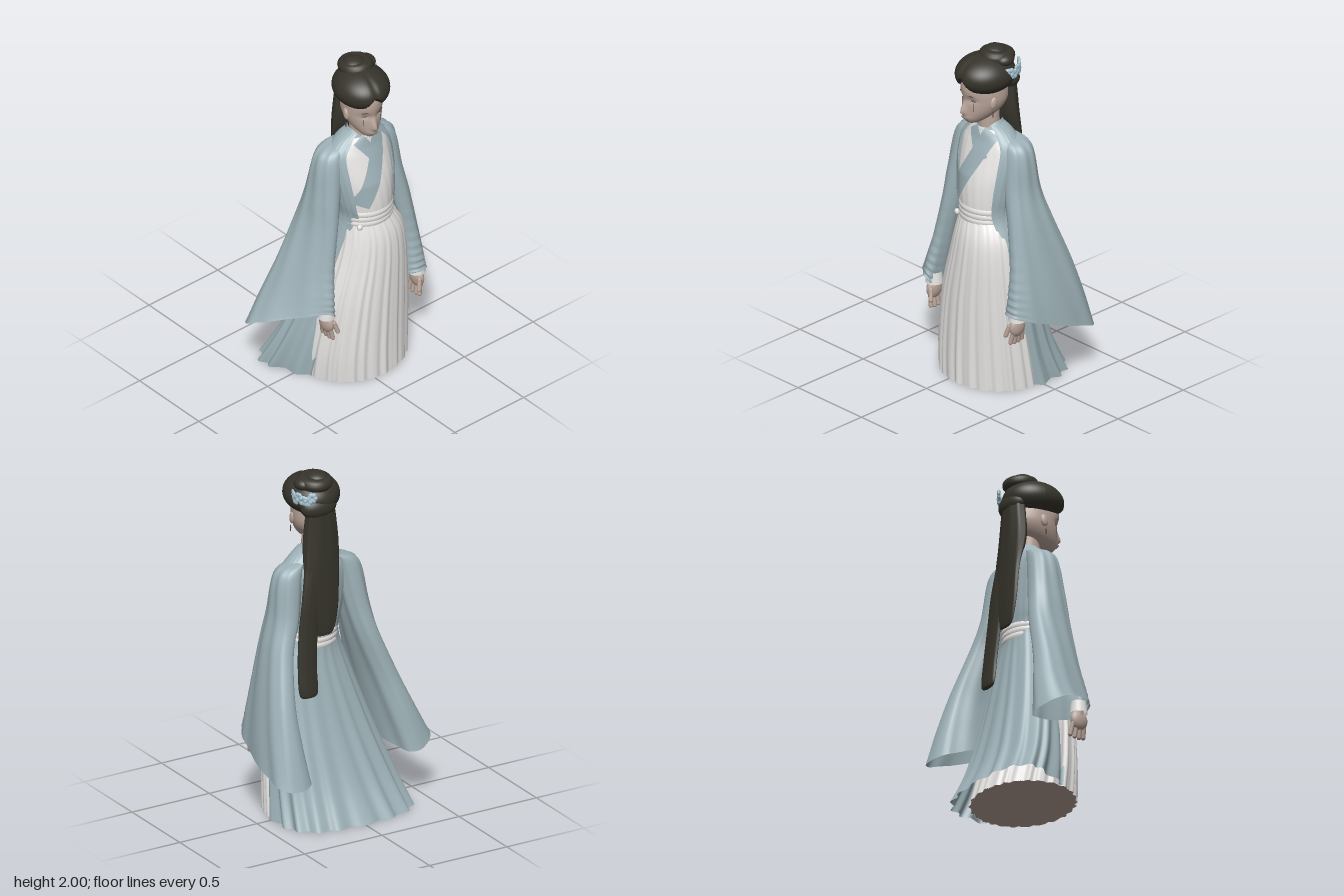
import * as THREE from 'three';

const mat = (name, color, double = false) => {
  const m = new THREE.MeshStandardMaterial({ color });
  m.name = name;
  if (double) m.side = THREE.DoubleSide;
  return m;
};
const { cos, sin, abs, sign, max, exp, sqrt, PI } = Math;
const bell = (d, w) => exp(-((d / w) ** 2));

// Smooth interpolation down a list of rows, t from 0 to 1
function rowAt(rows, t) {
  const f = t * (rows.length - 1), i = Math.min(Math.floor(f), rows.length - 2), s = f - i;
  const r = k => rows[THREE.MathUtils.clamp(k, 0, rows.length - 1)];
  return rows[i].map((_, c) => {
    const a = r(i - 1)[c], b = r(i)[c], d = r(i + 1)[c], e = r(i + 2)[c];
    return b + 0.5 * s * (d - a + s * (2 * a - 5 * b + 4 * d - e + s * (3 * (b - d) + e - a)));
  });
}

// Surface through point(u, v): u runs round, v runs down
function loft(nu, nv, point, closed = true) {
  const pos = [], idx = [], cols = closed ? nu : nu + 1;
  for (let j = 0; j <= nv; j++)
    for (let i = 0; i < cols; i++) pos.push(...point(i / nu, j / nv));
  for (let j = 0; j < nv; j++)
    for (let i = 0; i < nu; i++) {
      const a = j * cols + i, b = j * cols + ((i + 1) % cols), c = a + cols, d = b + cols;
      idx.push(a, b, c, b, d, c);
    }
  const g = new THREE.BufferGeometry();
  g.setAttribute('position', new THREE.Float32BufferAttribute(pos, 3));
  g.setIndex(idx);
  g.computeVertexNormals();
  return g;
}

// Point on an oval with different front and back: row = [y, cx, rx, zFront, zBack]
function oval([y, cx, rx, zf, zb], a, k = 1, p = 1) {
  const q = n => sign(n) * abs(n) ** p, cz = (zf + zb) / 2;
  return [cx + rx * k * q(cos(a)), y, cz + ((zf - zb) / 2) * k * q(sin(a))];
}

const torsoRows = [
  [1.53, 0.085, 0.07, 0.16, 0.02], [1.51, 0.085, 0.11, 0.166, 0.005], [1.46, 0.085, 0.165, 0.178, -0.015],
  [1.4, 0.085, 0.19, 0.2, -0.025], [1.25, 0.09, 0.185, 0.25, -0.028], [1.12, 0.095, 0.168, 0.268, -0.025],
  [0.99, 0.097, 0.155, 0.268, -0.015]];
const skirtRows = [
  [1.01, 0.097, 0.155, 0.268, -0.015], [0.9, 0.115, 0.195, 0.305, -0.02], [0.75, 0.11, 0.228, 0.322, -0.04],
  [0.5, 0.085, 0.275, 0.33, -0.09], [0.2, 0.07, 0.31, 0.33, -0.17], [0, 0.07, 0.318, 0.33, -0.23]];
// Last value: how far the open front reaches round from the side
const robeRows = [
  [1.55, 0.085, 0.075, 0.165, 0.015, 0.75], [1.5, 0.085, 0.15, 0.175, -0.015, 0.8],
  [1.43, 0.085, 0.208, 0.2, -0.035, 0.75], [1.3, 0.088, 0.21, 0.243, -0.042, 0.74],
  [1.15, 0.092, 0.187, 0.278, -0.042, 0.7], [1.02, 0.095, 0.172, 0.28, -0.03, 0.65],
  [0.84, 0.1, 0.235, 0.28, -0.055, 0.45], [0.5, 0.06, 0.31, 0.27, -0.135, 0.32],
  [0.2, 0.015, 0.37, 0.25, -0.23, 0.3], [0, -0.01, 0.412, 0.24, -0.325, 0.28]];

// Front surface of the bodice at x, y
function chestZ(x, y) {
  const found = torsoRows.findIndex(r => r[0] <= y), i = found < 0 ? 1 : max(1, found);
  const A = torsoRows[i - 1], B = torsoRows[i], s = (A[0] - y) / (A[0] - B[0]);
  const [, cx, rx, zf, zb] = A.map((n, k) => n + (B[k] - n) * s);
  const c = Math.min(1, abs(x - cx) / rx);
  return (zf + zb) / 2 + ((zf - zb) / 2) * sqrt(1 - c * c);
}

const pleat = a => sin(a * 26 + 1.5 * sin(a * 3)) * 0.7 + sin(a * 41) * 0.3;

// Head rule: unit direction to face surface
function headPoint(u, v, w) {
  const s = max(0, -v) ** 2;
  const x = 0.108 * u * (1 - 0.22 * s), y = (v > 0 ? 0.2 : 0.155) * v;
  let z = 0.137 * w + 0.08 * s;
  if (w > 0) {
    z += 0.07 * max(0, v) * w;
    z += 0.03 * bell(x, 0.017) * bell(y + 0.072, y > -0.072 ? 0.05 : 0.02);
    z -= 0.01 * (bell(x - 0.045, 0.025) + bell(x + 0.045, 0.025)) * bell(y - 0.005, 0.02);
    z += 0.008 * bell(x, 0.03) * bell(y + 0.108, 0.014);
  }
  return [x, y, z];
}
const onFace = (x, y) => {
  const v = y / (y > 0 ? 0.2 : 0.155), u = x / (0.108 * (1 - 0.22 * max(0, -v) ** 2));
  return headPoint(u, v, sqrt(max(0, 1 - u * u - v * v)));
};

export function createModel() {
  const root = new THREE.Group();
  const blue = mat('blue cloth', 0x9db1b7, true), white = mat('white cloth', 0xe4e3e1, true);
  const hair = mat('dark hair', 0x36342b, true), skin = mat('skin', 0xb7a398);
  const dark = mat('dark detail', 0x4a403b), lip = mat('lips', 0x957a71);
  const petal = mat('pale blue ornament', 0xa6c3d0);
  const add = (parent, name, geo, material, p = [0, 0, 0], s = [1, 1, 1]) => {
    const m = new THREE.Mesh(geo, material);
    m.name = name;
    m.position.set(...p);
    m.scale.set(...s);
    parent.add(m);
    return m;
  };
  const ball = new THREE.SphereGeometry(1, 28, 20), bead = new THREE.SphereGeometry(1, 12, 8);

  // Bodice, pleated skirt and its closed base
  add(root, 'bodice', loft(96, 32, (u, v) =>
    oval(rowAt(torsoRows, v), u * 2 * PI, 1 + 0.008 * sin(u * 40 * PI + v * 9) * v)), white);
  const skirtPoint = (u, v) =>
    oval(rowAt(skirtRows, v), u * 2 * PI, 1 + (0.008 + 0.02 * v) * pleat(u * 2 * PI));
  add(root, 'skirt', loft(260, 24, skirtPoint), white);
  add(root, 'skirtBase', loft(260, 1, (u, v) => {
    const [x, , z] = skirtPoint(u, 1);
    return v ? [0.07, 0.002, 0.05] : [x, 0.002, z];
  }), skin);

  // Open outer robe with flared, pleated back; its right edge tucks in to the skirt
  add(root, 'outerRobe', loft(160, 50, (u, v) => {
    const r = rowAt(robeRows, v), d = r[5], a = PI - d + u * (PI + 2 * d);
    const low = max(0, (v - 0.5) * 2), tuck = low * bell(a - PI + d, 0.5);
    const [x, y, z] = oval(r, a, 1 + 0.035 * low * sin(a * 19 + sin(a * 4)) + 0.004 * sin(a * 30), 1 - 0.28 * low);
    return [x + 0.15 * tuck, y, z + 0.02 * tuck];
  }, false), blue);

  // Wrapped sash with a small knot
  for (let i = 0; i < 3; i++) {
    const y = 1.058 - i * 0.03;
    add(root, 'belt', loft(72, 6, (u, v) => {
      const b = sin(v * PI) * 0.005, yy = y + 0.018 - v * 0.036 + 0.004 * sin(u * 2 * PI);
      return oval([yy, 0.097, 0.162 + b, 0.275 + b, -0.036 - b], u * 2 * PI);
    }), white);
  }
  add(root, 'beltKnot', ball, white, [-0.03, 0.99, 0.235], [0.018, 0.018, 0.014]);

  // Crossed collar bands lying on the bodice
  const band = (name, A, B, w, sag, lift) => add(root, name, loft(10, 30, (u, v) => {
    const dx = B[0] - A[0], dy = B[1] - A[1], L = Math.hypot(dx, dy), o = (u - 0.5) * w - sag * sin(v * PI);
    const x = A[0] + dx * v - (dy / L) * o, y = A[1] + dy * v + (dx / L) * o;
    return [x, y, chestZ(x, y) + lift];
  }, false), blue);
  band('underCollar', [0.025, 1.515], [0.14, 1.36], 0.075, 0, 0.005);
  band('overCollar', [0.16, 1.515], [-0.03, 1.13], 0.1, -0.01, 0.01);
  add(root, 'neckCollar', loft(48, 8, (u, v) => {
    const a = u * 2 * PI;
    const [x, y, z] = oval([1.565 - v * 0.06, 0.085, 0.062 + 0.05 * v, 0.165 + 0.01 * v, 0.025 - 0.025 * v], a);
    return [x, y - 0.05 * max(0, sin(a)) ** 2, z];
  }), blue);

  // Wide sleeves: rows of [front x,y,z, back x,y,z, half thickness]
  const sleeves = {
    left: { skew: 0.2, lift: 0, rows: [[0.2, 1.49, 0.1, 0.2, 1.49, 0, 0.025], [0.265, 1.43, 0.14, 0.265, 1.43, -0.03, 0.075],
      [0.3, 1.2, 0.17, 0.3, 1.18, -0.06, 0.078], [0.34, 1, 0.19, 0.36, 1, -0.1, 0.075],
      [0.38, 0.76, 0.213, 0.41, 0.74, -0.19, 0.082], [0.395, 0.6, 0.238, 0.425, 0.51, -0.265, 0.1],
      [0.4, 0.5, 0.255, 0.425, 0.29, -0.33, 0.118]] },
    right: { skew: 0.5, lift: 0.05, rows: [[-0.03, 1.49, 0.1, -0.03, 1.49, 0, 0.025], [-0.1, 1.43, 0.14, -0.1, 1.43, -0.03, 0.075],
      [-0.14, 1.2, 0.17, -0.155, 1.18, -0.06, 0.076], [-0.165, 1, 0.19, -0.21, 1, -0.09, 0.073],
      [-0.205, 0.76, 0.213, -0.315, 0.74, -0.125, 0.075], [-0.23, 0.6, 0.245, -0.4, 0.52, -0.17, 0.082],
      [-0.24, 0.5, 0.262, -0.475, 0.33, -0.2, 0.092]] }
  };
  for (const [side, { skew, lift, rows }] of Object.entries(sleeves)) {
    add(root, side + 'Sleeve', loft(56, 60, (u, v) => {
      const [fx, fy, fz, bx, by, bz, t] = rowAt(rows, v), a = u * 2 * PI;
      const hx = (fx - bx) / 2, hy = (fy - by) / 2, hz = (fz - bz) / 2, L = Math.hypot(hx, hz);
      const p = 1 - 0.25 * v, c = sign(cos(a)) * abs(cos(a)) ** p, s = sign(sin(a)) * abs(sin(a)) ** p;
      const front = max(0, cos(a)) ** 2, low = max(0, v - 0.45);
      const k = t * s * (1 + 0.05 * sin(a * 9 + v * 4)) * (1 - skew * v * v * cos(a));
      const e = c * (1 + 0.04 * low * front * sin(v * 110));
      return [(fx + bx) / 2 + hx * e - (hz / L) * k, (fy + by) / 2 + hy * c + lift * s * v ** 4,
        (fz + bz) / 2 + hz * e + (hx / L) * k];
    }), blue);

    // Cuff and hand, mirrored
    const arm = new THREE.Group(), m = side === 'left' ? 1 : -1;
    arm.name = side + 'Hand';
    arm.position.set(side === 'left' ? 0.41 : -0.245, 0.44, 0.2);
    root.add(arm);
    add(arm, 'cuff', new THREE.CylinderGeometry(0.042, 0.05, 0.07, 24, 1, true), white, [0, 0.062, 0]);
    add(arm, 'wrist', new THREE.CylinderGeometry(0.03, 0.028, 0.1, 16), skin, [0, 0.04, 0]);
    add(arm, 'palm', ball, skin, [0, -0.01, 0.002], [0.03, 0.06, 0.054]);
    for (let i = 0; i < 4; i++) {
      const f = add(arm, 'finger', new THREE.CapsuleGeometry(0.0125, 0.07, 4, 10), skin,
        [-m * 0.006, -0.078 + 0.006 * abs(i - 1.4), 0.036 - i * 0.026]);
      f.rotation.set((1.5 - i) * -0.09, 0, -m * 0.2);
    }
    const th = add(arm, 'thumb', new THREE.CapsuleGeometry(0.013, 0.06, 4, 10), skin, [-m * 0.024, -0.03, 0.052]);
    th.rotation.set(-0.25, 0, -m * 0.25);
  }

  // Neck and head
  add(root, 'neck', new THREE.CylinderGeometry(0.055, 0.063, 0.2, 28), skin, [0.083, 1.57, 0.1]);
  const head = new THREE.Group();
  head.name = 'head';
  head.position.set(0.075, 1.72, 0.12);
  head.rotation.y = -0.17;
  root.add(head);
  const face = new THREE.SphereGeometry(1, 80, 60), fp = face.attributes.position;
  for (let i = 0; i < fp.count; i++) fp.setXYZ(i, ...headPoint(fp.getX(i), fp.getY(i), fp.getZ(i)));
  face.computeVertexNormals();
  add(head, 'face', face, skin);
  for (const k of [-1, 1]) {
    add(head, 'ear', ball, skin, [k * 0.106, -0.015, 0.018], [0.014, 0.036, 0.022]).rotation.x = -0.2;
    add(head, 'earring', bead, dark, [k * 0.112, -0.08, 0.026], [0.004, 0.02, 0.004]);
    add(head, 'eye', bead, dark, onFace(k * 0.045, 0.002), [0.021, 0.004, 0.004]).rotation.set(0, k * 0.35, k * -0.1);
    add(head, 'eyebrow', bead, dark, onFace(k * 0.046, 0.034), [0.022, 0.003, 0.003]).rotation.set(0, k * 0.4, k * -0.12);
    add(head, 'tearStreak', bead, dark, onFace(k * 0.056, -0.035), [0.0015, 0.025, 0.003]);
  }
  add(head, 'mouth', bead, lip, onFace(0, -0.108), [0.022, 0.007, 0.005]);

  // Hair cap with a centre parting and arched hairline
  const cap = new THREE.SphereGeometry(1, 64, 40), cp = cap.attributes.position;
  for (let i = 0; i < cp.count; i++) {
    const u = cp.getX(i), v = cp.getY(i), w = cp.getZ(i), part = bell(u, 0.1) * max(0, w);
    const floor = -0.098 + 0.105 * bell(u, 0.5) * max(0, w) ** 2;
    cp.setXYZ(i, 0.157 * u, max(floor, 0.112 * v * (1 - 0.05 * part)), 0.175 * w * (1 - 0.06 * part));
  }
  cap.computeVertexNormals();
  add(head, 'hairCap', cap, hair, [0, 0.13, 0]);
  add(root, 'hairBack', ball, hair, [0.1, 1.81, 0.005], [0.11, 0.07, 0.066]);

  // Coiled bun and side knot
  add(root, 'bunCoil', new THREE.TorusGeometry(0.06, 0.038, 16, 40), hair, [0.095, 1.945, 0.05], [1, 1.05, 0.95]).rotation.x = PI / 2 - 0.1;
  add(root, 'bunTop', ball, hair, [0.08, 1.96, 0.055], [0.065, 0.04, 0.068]);
  add(root, 'sideKnot', ball, hair, [0.17, 1.94, 0.06], [0.045, 0.035, 0.055]);

  // Long tail of hair and a longer loose lock: rows of [x, y, z, half width, half depth]
  const lock = (name, rows) => add(root, name, loft(36, 40, (u, v) => {
    const [x, y, z, w, d] = rowAt(rows, v), a = u * 2 * PI, k = 1 + 0.03 * sin(a * 9);
    return [x + w * cos(a) * k, y, z + d * sin(a) * k];
  }), hair);
  lock('hairTail', [[0.09, 1.82, 0, 0.085, 0.05], [0.09, 1.6, -0.005, 0.11, 0.052], [0.1, 1.4, -0.035, 0.108, 0.028],
    [0.1, 1.2, -0.046, 0.095, 0.02], [0.1, 1.07, -0.05, 0.06, 0.01], [0.1, 1.06, -0.05, 0, 0]]);
  lock('looseLock', [[0.14, 1.55, -0.015, 0.05, 0.03], [0.175, 1.3, -0.045, 0.058, 0.02], [0.2, 1.1, -0.053, 0.06, 0.02],
    [0.215, 0.9, -0.068, 0.06, 0.02], [0.215, 0.74, -0.085, 0.056, 0.017], [0.215, 0.725, -0.086, 0, 0]]);

  // Flower ornament curving round the side of the hair
  for (let i = 0; i < 7; i++) {
    const a = -0.95 + (i / 6) * 1.4, flower = new THREE.Group();
    flower.name = 'hairFlower';
    flower.position.set(0.095 + 0.128 * cos(a), 1.89 - 0.025 * abs(sin(i * 2)), 0.045 + 0.11 * sin(a));
    flower.rotation.y = PI / 2 - a;
    root.add(flower);
    for (let j = 0; j < 6; j++) {
      const b = (j / 6) * 2 * PI;
      add(flower, 'petal', bead, petal, [0.015 * cos(b), 0.017 * sin(b), 0], [0.015, 0.015, 0.009]);
    }
  }
  return root;
}
